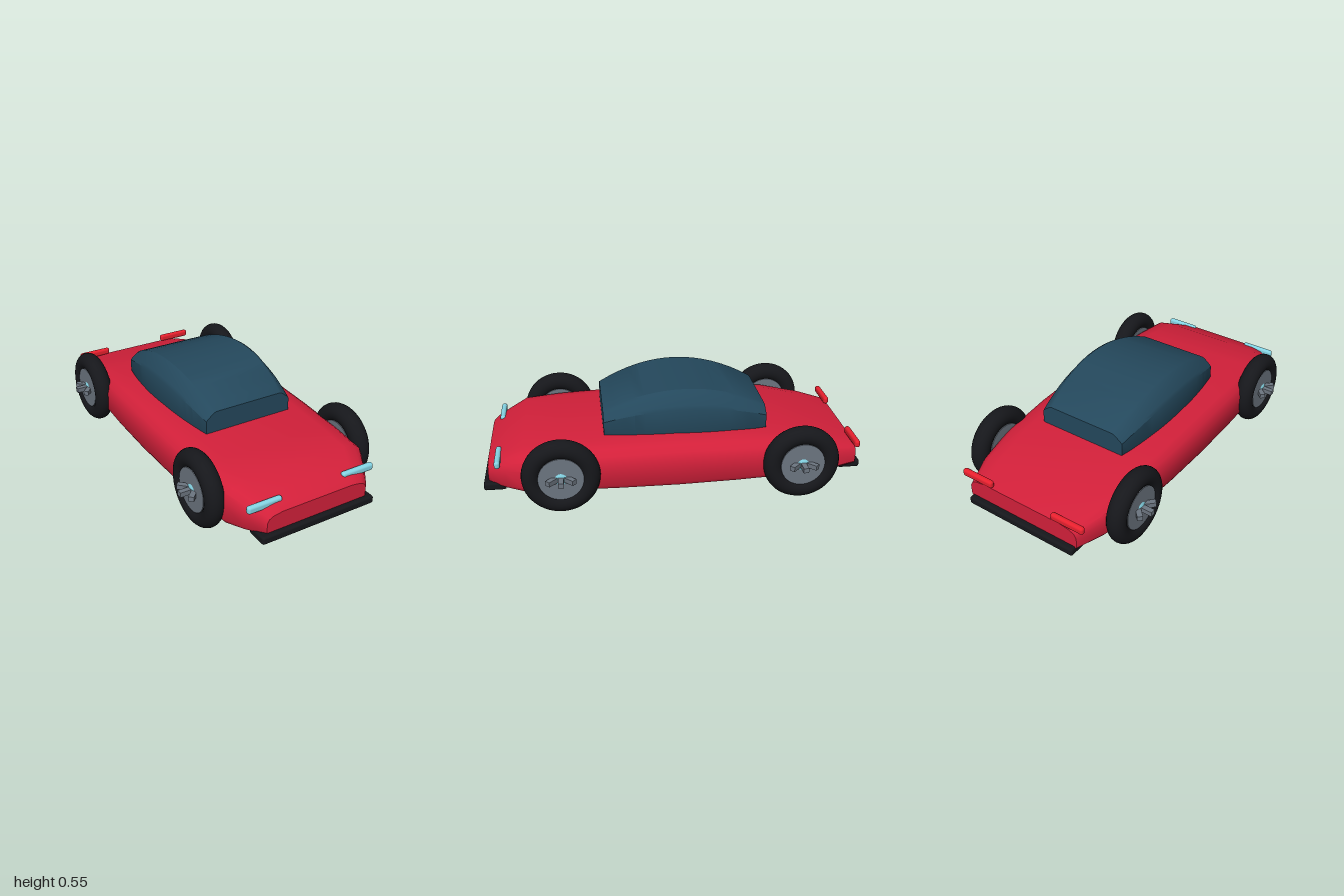
import * as THREE from 'three';
import { toCreasedNormals } from 'three/addons/utils/BufferGeometryUtils.js';
import { RoundedBoxGeometry } from 'three/addons/geometries/RoundedBoxGeometry.js';

const paint = (color) => new THREE.MeshStandardMaterial({ color });
const RED = paint(0xd3203a), GLASS = paint(0x24485c), BLACK = paint(0x16171b);
const STEEL = paint(0x6d7681), CYAN = paint(0x84d4e4), TAIL = paint(0xe8202e);

function add(parent, name, geometry, material, x = 0, y = 0, z = 0) {
  const mesh = new THREE.Mesh(geometry, material);
  mesh.name = name;
  mesh.position.set(x, y, z);
  parent.add(mesh);
  return mesh;
}

// Skin over mirrored cross-sections, given front to back.
// Each station is [z, halfWidth, bottom, top]; profile holds [width share, height share].
function loft(stations, profile, crease) {
  const ring = [...profile, ...profile.slice().reverse().map(([u, v]) => [-u, v])];
  const n = ring.length, last = (stations.length - 1) * n;
  const pos = [], idx = [];
  for (const [z, w, low, top] of stations)
    for (const [u, v] of ring) pos.push(u * w, low + v * (top - low), z);
  for (let i = 0; i < last; i += n) {
    for (let j = 0; j < n; j++) {
      const k = (j + 1) % n;
      idx.push(i + j, i + n + j, i + k, i + k, i + n + j, i + n + k);
    }
  }
  for (let j = 1; j < n - 1; j++) idx.push(0, j, j + 1, last, last + j + 1, last + j);
  const g = new THREE.BufferGeometry();
  g.setAttribute('position', new THREE.Float32BufferAttribute(pos, 3));
  g.setIndex(idx);
  return toCreasedNormals(g, crease);
}

function makeWheel() {
  const wheel = new THREE.Group();
  add(wheel, 'tire', new THREE.TorusGeometry(0.15, 0.05, 20, 48).rotateY(Math.PI / 2), BLACK);
  add(wheel, 'rim', new THREE.CylinderGeometry(0.115, 0.115, 0.08, 40).rotateZ(Math.PI / 2), STEEL);
  add(wheel, 'hubCap', new THREE.SphereGeometry(0.057, 24, 16).scale(0.85, 1, 1), CYAN);
  // star of flat spokes lying level through the hub
  for (let i = 0; i < 4; i++) {
    const spoke = add(wheel, 'spoke', new THREE.BoxGeometry(0.19, 0.026, 0.028), STEEL, 0.01);
    spoke.rotation.y = i * Math.PI / 4;
  }
  return wheel;
}

export function createModel() {
  const car = new THREE.Group();
  car.name = 'sportsCar';

  // low wedge body
  add(car, 'body', loft([
    [0.975, 0.29, 0.11, 0.21],
    [0.95, 0.31, 0.105, 0.232],
    [0.88, 0.36, 0.103, 0.262],
    [0.79, 0.41, 0.102, 0.302],
    [0.6, 0.425, 0.102, 0.316],
    [0.3, 0.437, 0.102, 0.326],
    [0, 0.442, 0.103, 0.333],
    [-0.3, 0.437, 0.106, 0.325],
    [-0.6, 0.42, 0.108, 0.307],
    [-0.82, 0.39, 0.11, 0.262],
    [-0.97, 0.335, 0.112, 0.225],
  ], [[0.97, 0], [1, 0.1], [1, 0.6], [0.96, 0.8], [0.88, 0.92], [0.7, 1]], 0.6), RED);

  // arched glass cabin
  const cabin = [];
  for (let i = 0; i <= 16; i++) {
    const t = i / 8 - 1;
    cabin.push([-0.06 - t * 0.43, 0.297 - 0.045 * t * t, 0.317, 0.551 - 0.117 * t * t - 0.004 * t]);
  }
  add(car, 'cabin', loft(cabin,
    [[0.99, 0], [1, 0.05], [1, 0.63], [0.97, 0.71], [0.83, 0.95], [0.77, 1]], 0.5), GLASS);

  // bumpers
  const bumper = new RoundedBoxGeometry(0.655, 0.042, 0.115, 3, 0.012);
  add(car, 'frontBumper', bumper, BLACK, 0, 0.096, 0.9425);
  add(car, 'rearBumper', bumper, BLACK, 0, 0.104, -0.9425);

  const headlight = new RoundedBoxGeometry(0.19, 0.041, 0.03, 3, 0.014);
  const taillight = new RoundedBoxGeometry(0.192, 0.041, 0.03, 3, 0.014);
  for (const [side, s] of [['left', 1], ['right', -1]]) {
    add(car, side + 'Headlight', headlight, CYAN, s * 0.272, 0.238, 0.92);
    add(car, side + 'Taillight', taillight, TAIL, s * 0.281, 0.245, -0.962);
    for (const [end, z] of [['Front', 0.6], ['Rear', -0.64]]) {
      const wheel = makeWheel();
      wheel.name = side + end + 'Wheel';
      wheel.position.set(s * 0.435, 0.2, z);
      if (s < 0) wheel.rotation.y = Math.PI;
      car.add(wheel);
    }
  }
  return car;
}
